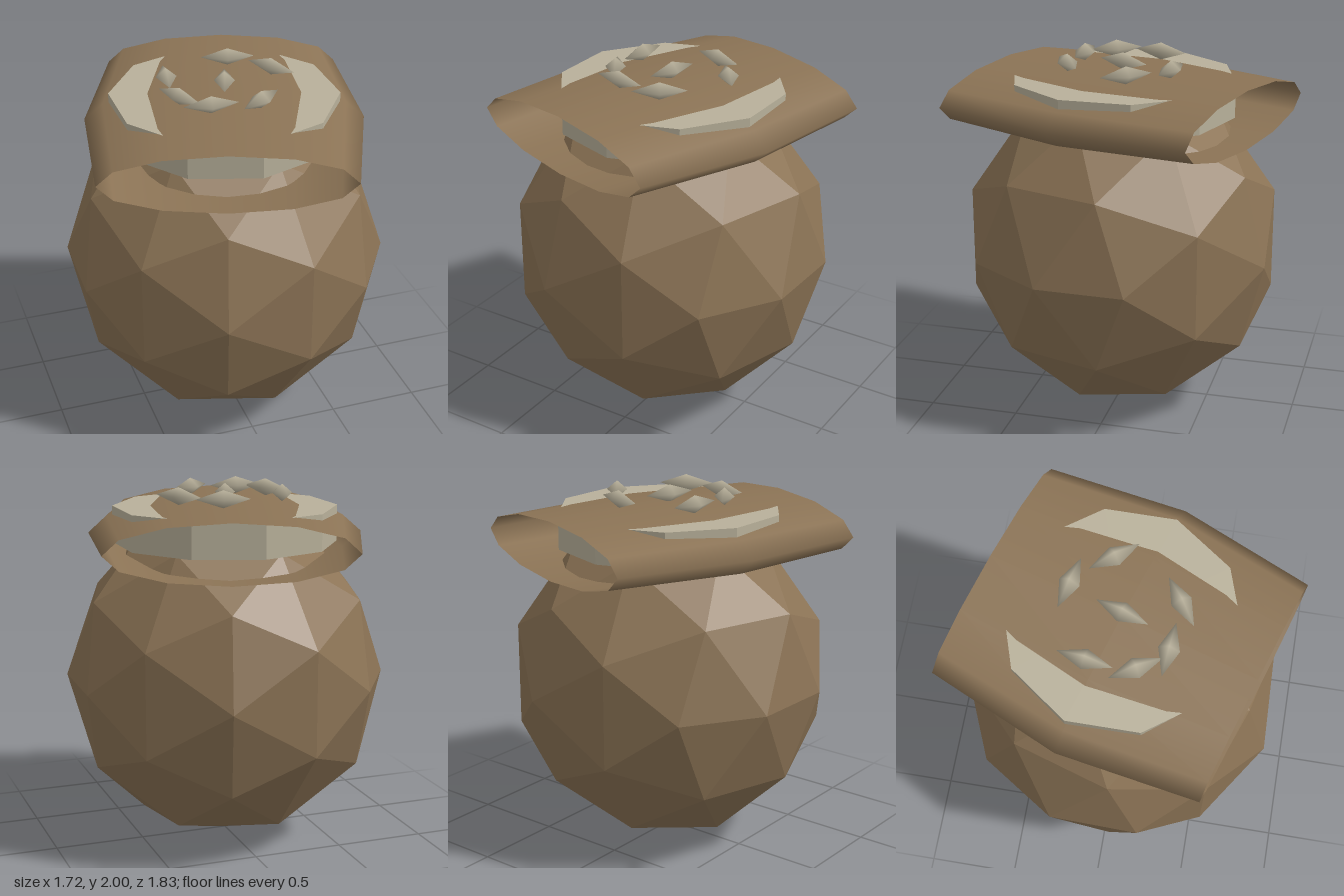
import * as THREE from 'three';

const TURN = -0.3; // shared twist of the body and the cloth about y

const brown = new THREE.MeshStandardMaterial({ color: 0x8b7355 });
brown.name = 'sack brown';
brown.side = THREE.DoubleSide;
const cream = new THREE.MeshStandardMaterial({ color: 0xb8b09a });
cream.name = 'pale cream';

// Separate the faces so that each one has its own flat normal
function faceted(geometry) {
  const flat = geometry.index ? geometry.toNonIndexed() : geometry;
  flat.computeVertexNormals();
  return flat;
}

function addMesh(parent, name, geometry, material) {
  const mesh = new THREE.Mesh(geometry, material);
  mesh.name = name;
  parent.add(mesh);
  return mesh;
}

export function createModel() {
  const model = new THREE.Group();
  model.name = 'seedSack';

  // Round faceted body, slightly taller than wide
  const bodyGeometry = new THREE.IcosahedronGeometry(0.889, 1);
  bodyGeometry.scale(1, 0.93 / 0.889, 1);
  const body = addMesh(model, 'body', faceted(bodyGeometry), brown);
  body.position.y = 0.93;
  body.rotation.y = TURN;

  // Flattened cloth tube, open at both ends and widest in the middle
  const clothGeometry = new THREE.CylinderGeometry(1, 1, 1.514, 12, 2, true);
  clothGeometry.rotateX(Math.PI / 2);
  const p = clothGeometry.attributes.position;
  for (let i = 0; i < p.count; i++) {
    const middle = Math.abs(p.getZ(i)) < 0.1;
    p.setX(i, p.getX(i) * (middle ? 0.753 : 0.655));
    p.setY(i, p.getY(i) * (middle ? 0.178 : 0.161));
  }
  // Normals of the elliptical section, so the seam stays smooth
  const n = clothGeometry.attributes.normal;
  for (let i = 0; i < p.count; i++) {
    const v = new THREE.Vector3(p.getX(i) / 0.5, p.getY(i) / 0.029, 0).normalize();
    n.setXYZ(i, v.x, v.y, v.z);
  }
  const cloth = addMesh(model, 'clothTop', clothGeometry, brown);
  cloth.position.y = 1.732;
  cloth.rotation.y = TURN;

  // Ten-sided collar whose rim breaks through the cloth
  const collar = addMesh(model, 'collar', faceted(new THREE.CylinderGeometry(0.62, 0.62, 0.2, 10)), cream);
  collar.position.y = 1.778;

  // Seeds: centre x, centre z, then half of the long axis as x, z
  const seeds = [
    [0, 0, 0.045, -0.138],
    [0.115, -0.29, 0.145, 0.035],
    [-0.28, -0.143, 0.022, -0.14],
    [0.297, -0.09, 0.092, 0.12],
    [-0.285, 0.115, 0.07, 0.118],
    [-0.16, 0.263, 0.145, 0.014],
    [0.105, 0.285, 0.125, -0.085],
  ];
  const seedGeometry = new THREE.SphereGeometry(1, 4, 2);
  seedGeometry.scale(0.147, 0.048, 0.056);
  const seedGroup = new THREE.Group();
  seedGroup.name = 'seeds';
  model.add(seedGroup);
  for (const [x, z, dx, dz] of seeds) {
    const seed = addMesh(seedGroup, 'seed', seedGeometry, cream);
    seed.position.set(x, 1.952, z);
    seed.rotation.y = Math.atan2(-dz, dx);
  }

  return model;
}
